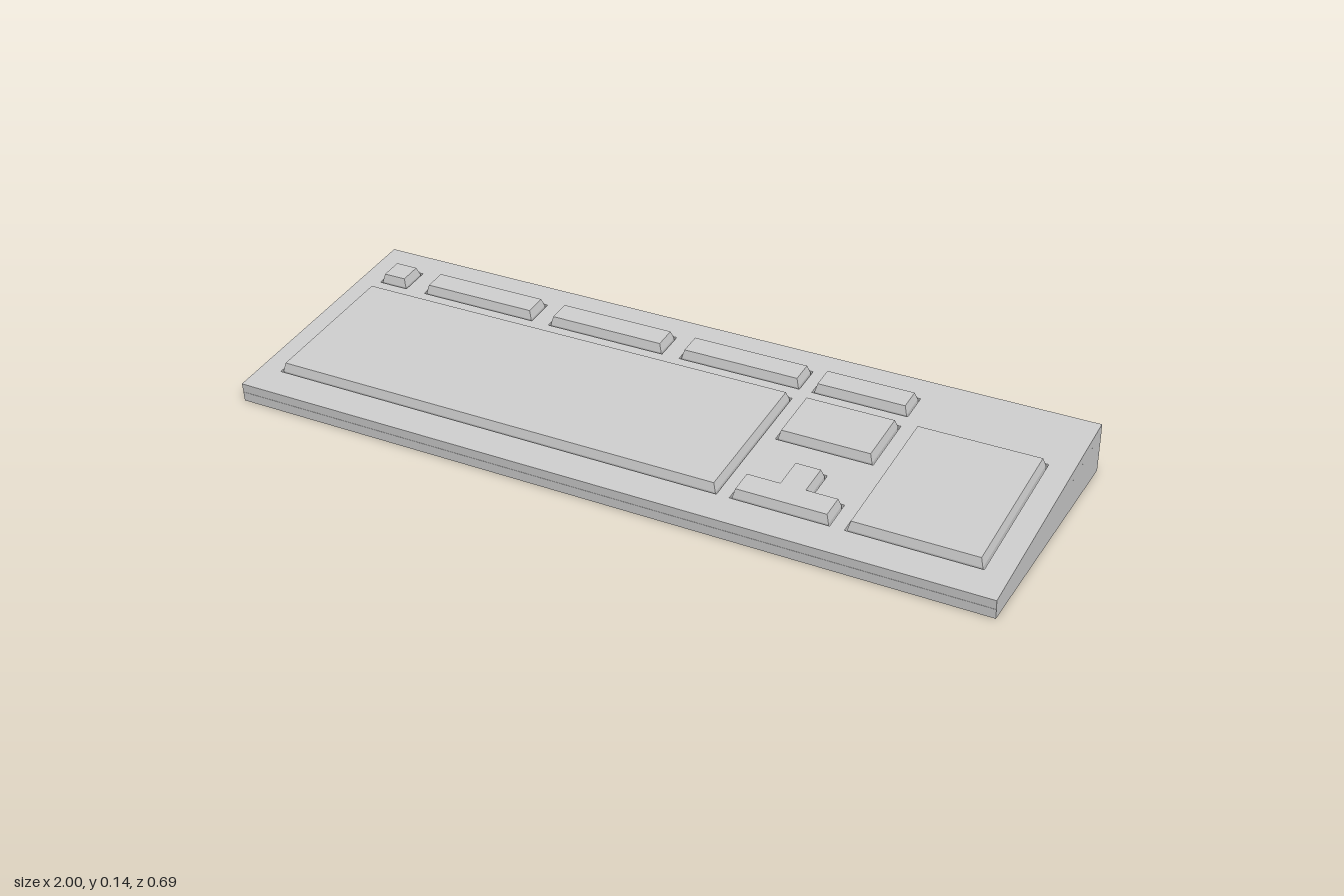
import * as THREE from 'three';

const SLOPE = 0.116;      // tilt of the top plate
const PLATE = 0.025;      // plate thickness, also the depth of the key wells
const KEY_RISE = 0.022;   // height of the keys above the plate

const rect = (x0, x1, z0, z1) => [[x0, z0], [x1, z0], [x1, z1], [x0, z1]];

// Outlines of the key wells as [x, z] corners
const wells = {
  escapeKey: rect(-0.941, -0.858, -0.267, -0.187),
  functionKeysA: rect(-0.802, -0.471, -0.267, -0.187),
  functionKeysB: rect(-0.422, -0.091, -0.267, -0.187),
  functionKeysC: rect(-0.043, 0.288, -0.267, -0.187),
  systemKeys: rect(0.321, 0.572, -0.267, -0.187),
  mainKeys: rect(-0.941, 0.288, -0.146, 0.261),
  navigationKeys: rect(0.321, 0.572, -0.146, 0.018),
  numberPad: rect(0.608, 0.939, -0.146, 0.261),
  arrowKeys: [[0.321, 0.261], [0.572, 0.261], [0.572, 0.179], [0.492, 0.179],
    [0.492, 0.097], [0.406, 0.097], [0.406, 0.179], [0.321, 0.179]],
};

// World [x, z] to plate coordinates, with y running up the slope
const onPlate = (points) => points.map(([x, z]) =>
  new THREE.Vector2(x, (0.002 - z) / Math.cos(SLOPE)));

export function createModel() {
  const model = new THREE.Group();
  model.name = 'keyboard';
  const material = new THREE.MeshStandardMaterial({ color: 0xcccccc });
  const add = (parent, name, geometry) => {
    const mesh = new THREE.Mesh(geometry, material);
    mesh.name = name;
    parent.add(mesh);
  };

  // Wedge-shaped lower case, profile drawn as (-z, y) and extruded across x
  const profile = [[-0.34, 0], [0.345, 0], [0.344, 0.105], [-0.3425, 0.0255]];
  const wedge = new THREE.ExtrudeGeometry(
    new THREE.Shape(profile.map(([x, y]) => new THREE.Vector2(x, y))),
    { depth: 2, bevelEnabled: false });
  wedge.translate(0, 0, -1).rotateY(Math.PI / 2);
  add(model, 'lowerCase', wedge);

  // Tilted group holding the plate and the keys
  const deck = new THREE.Group();
  deck.name = 'deck';
  deck.rotation.x = SLOPE - Math.PI / 2;
  deck.position.set(0, 0.0652, -0.001);
  model.add(deck);

  // Top plate pierced by the key wells
  const h = 0.3452;
  const plate = new THREE.Shape([[-1, -h], [1, -h], [1, h], [-1, h]]
    .map(([x, y]) => new THREE.Vector2(x, y)));
  for (const outline of Object.values(wells)) {
    plate.holes.push(new THREE.Path(onPlate(outline)));
  }
  add(deck, 'topPlate', new THREE.ExtrudeGeometry(plate, { depth: PLATE, bevelEnabled: false }));

  // Key blocks, slightly smaller than their wells and tapering towards the top
  for (const [name, outline] of Object.entries(wells)) {
    add(deck, name, new THREE.ExtrudeGeometry(new THREE.Shape(onPlate(outline)), {
      depth: PLATE, bevelThickness: KEY_RISE, bevelSize: 0.006, bevelOffset: -0.011, bevelSegments: 1,
    }));
  }
  return model;
}
